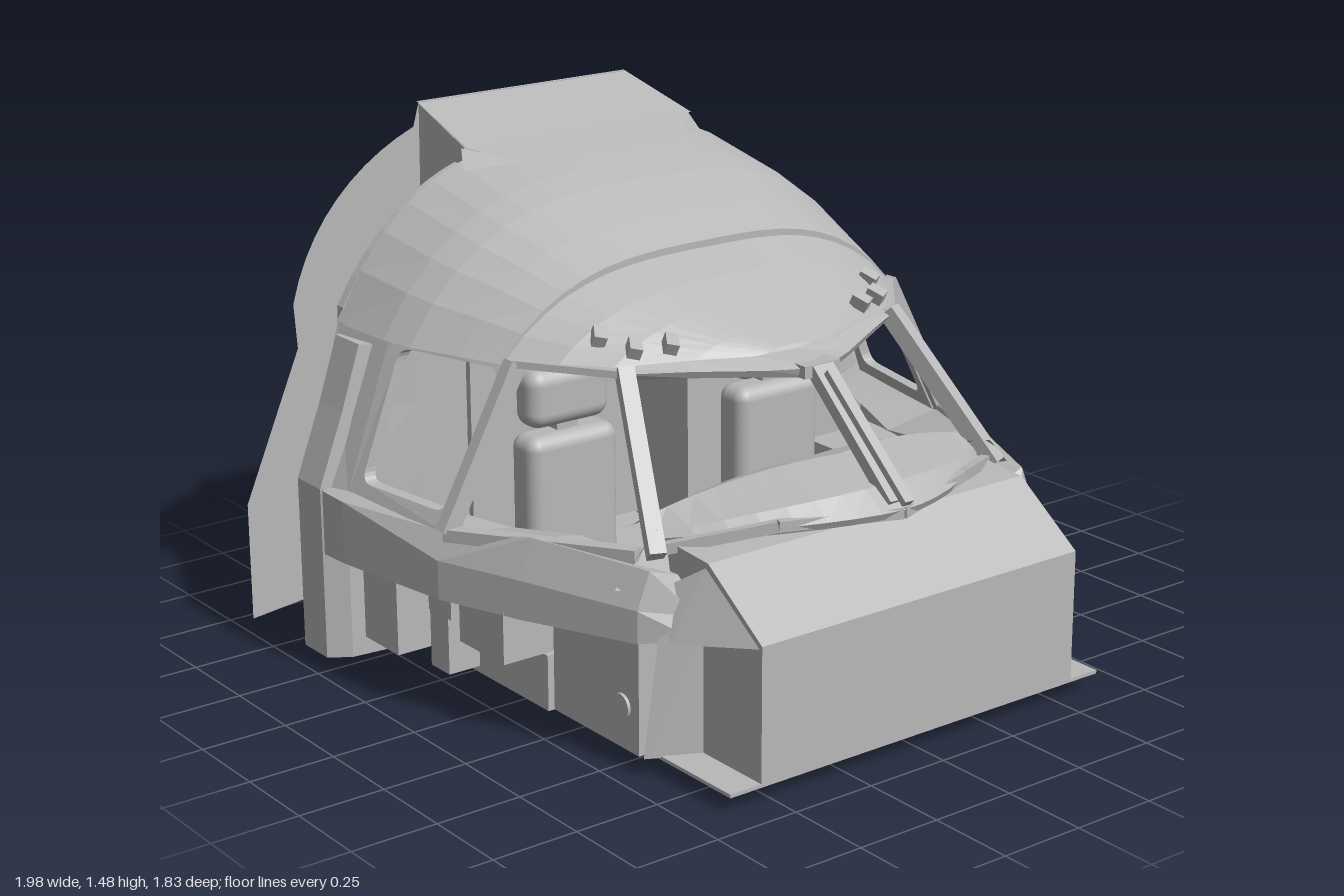
import * as THREE from 'three';
import { RoundedBoxGeometry } from 'three/addons/geometries/RoundedBoxGeometry.js';

export function createModel() {
  const model = new THREE.Group();
  const grey = new THREE.MeshStandardMaterial({ color: 0xb8b8b8, side: THREE.DoubleSide });
  grey.name = 'panel grey';
  const V = (p) => new THREE.Vector3(...p);
  const mx = (p, s) => [p[0] * s, p[1], p[2]];

  function add(name, geo) {
    const m = new THREE.Mesh(geo, grey);
    m.name = name;
    model.add(m);
    return m;
  }
  function flat(positions) {
    const g = new THREE.BufferGeometry();
    g.setAttribute('position', new THREE.Float32BufferAttribute(positions, 3));
    g.computeVertexNormals();
    return g;
  }
  // flat polygon as a fan
  function panel(name, pts, s = 1) {
    const out = [];
    for (let i = 1; i < pts.length - 1; i++) {
      const t = [pts[0], pts[i], pts[i + 1]].map((p) => mx(p, s));
      if (s < 0) t.reverse();
      out.push(...t.flat());
    }
    return add(name, flat(out));
  }
  // faceted skin through rows of points
  function skin(name, rows, s = 1) {
    const out = [];
    for (let i = 0; i < rows.length - 1; i++) {
      for (let j = 0; j < rows[i].length - 1; j++) {
        const q = [rows[i][j], rows[i + 1][j], rows[i + 1][j + 1], rows[i][j + 1]].map((p) => mx(p, s));
        if (s < 0) q.reverse();
        out.push(...q[0], ...q[1], ...q[2], ...q[0], ...q[2], ...q[3]);
      }
    }
    return add(name, flat(out));
  }
  function box(name, x0, x1, y0, y1, z0, z1) {
    const m = add(name, new THREE.BoxGeometry(Math.abs(x1 - x0), y1 - y0, z1 - z0));
    m.position.set((x0 + x1) / 2, (y0 + y1) / 2, (z0 + z1) / 2);
    return m;
  }
  // straight bar between two points
  function bar(name, a, b, w, d, s = 1) {
    const p = V(mx(a, s)), q = V(mx(b, s));
    const m = add(name, new THREE.BoxGeometry(w, d, p.distanceTo(q)));
    m.position.copy(p).add(q).multiplyScalar(0.5);
    m.lookAt(q);
    return m;
  }

  // floor and the open hatch frame beneath it
  box('floor', -0.64, 0.65, 0.045, 0.055, -0.64, 0.91);
  box('rearFloor', -0.38, 0.4, 0.045, 0.055, -0.9, -0.64);
  box('hatchSide', -0.17, -0.16, 0, 0.05, 0.04, 0.58);
  box('hatchSide', 0.18, 0.19, 0, 0.05, 0.04, 0.58);
  box('hatchEnd', -0.17, 0.19, 0, 0.05, 0.04, 0.05);
  box('hatchEnd', -0.17, 0.19, 0, 0.05, 0.57, 0.58);

  // roof shell, [z, half width, crown height]
  const stations = [
    [-0.63, 0.82, 1.4], [-0.4, 0.81, 1.345], [-0.3, 0.79, 1.315], [-0.15, 0.73, 1.255], [-0.02, 0.68, 1.195],
    [-0.02, 0.675, 1.175], [0.1, 0.59, 1.125], [0.2, 0.48, 1.075], [0.3, 0.3, 1.025], [0.37, 0.12, 0.99], [0.385, 0.02, 0.97],
  ];
  const N = 20;
  const arch = (k, h) => 0.965 + (h - 0.965) * (1 - Math.abs(k) ** 3.2) ** 0.93;
  skin('roofShell', stations.map(([z, w, h]) => {
    const row = [];
    for (let i = 0; i <= N; i++) {
      const k = (2 * i) / N - 1;
      row.push([w * k, arch(k, h), z]);
    }
    return row;
  }));

  // raised rear roof with its side walls and fairings
  panel('rearRoof', [[-0.39, 1.4, -0.6], [0.4, 1.4, -0.6], [0.38, 1.48, -0.91], [-0.36, 1.48, -0.91]]);
  panel('rearRoofLeftWall', [[0.4, 0.05, -0.62], [0.4, 0.05, -0.88], [0.38, 1.475, -0.9], [0.4, 1.4, -0.62]]);
  panel('rearRoofRightWall', [[-0.39, 0.05, -0.62], [-0.39, 1.4, -0.62], [-0.36, 1.475, -0.9], [-0.39, 0.05, -0.88]]);
  for (const s of [1, -1]) {
    panel('roofFairing', [[0.4, 1.4, -0.62], [0.28, 1.37, -0.48], [0.42, 1.345, -0.58]], s);
  }
  panel('roofFairingTop', [[-0.39, 1.4, -0.62], [-0.28, 1.37, -0.48], [0.28, 1.37, -0.48], [0.4, 1.4, -0.62]]);

  // back wall with arched shoulders
  const back = new THREE.Shape();
  back.moveTo(-0.74, 0.05);
  back.lineTo(0.42, 0.05);
  back.lineTo(0.42, 0.08);
  back.lineTo(0.69, 0.08);
  back.lineTo(0.69, 0.97);
  back.lineTo(0.83, 0.97);
  back.bezierCurveTo(0.75, 1.18, 0.6, 1.33, 0.38, 1.41);
  back.lineTo(0.38, 1.48);
  back.lineTo(-0.36, 1.48);
  back.lineTo(-0.38, 1.41);
  back.bezierCurveTo(-0.58, 1.33, -0.74, 1.18, -0.8, 0.95);
  add('backWall', new THREE.ShapeGeometry(back, 10)).position.z = -0.9;
  box('backDoor', 0.42, 0.69, 0.08, 0.95, -0.91, -0.9);
  panel('rearFlap', [[-0.72, 0.95, -0.92], [-0.72, 0.05, -0.92], [-1, 0.05, -0.86], [-1, 0.4, -0.86]]);

  // instrument panel housing
  const dash = new THREE.Shape([[0.91, 0.05], [0.91, 0.43], [0.69, 0.585], [0.46, 0.6], [0.46, 0.05]]
    .map(([z, y]) => new THREE.Vector2(-z, y)));
  add('instrumentHousing', new THREE.ExtrudeGeometry(dash, { depth: 1.09, bevelEnabled: false })
    .rotateY(Math.PI / 2).translate(-0.54, 0, 0));
  // pointed cowl under the windshield
  const cowl = [];
  for (let i = 0; i <= 16; i++) {
    const x = -0.56 + 0.07 * i, k = Math.abs(x) / 0.56;
    const zf = 0.83 - 0.33 * k ** 1.7, top = 0.73 - 0.09 * k * k, lip = 0.65 - 0.05 * k * k;
    cowl.push([[x, 0.59, zf - 0.14 + 0.08 * k], [x, lip - 0.02, zf - 0.01], [x, lip, zf],
      [x, top - 0.03, zf - 0.07 * (1 - k) - 0.01], [x, top, 0.56 - 0.12 * k], [x, top - 0.03, 0.46 - 0.06 * k], [x, 0.58, 0.33]]);
  }
  skin('windshieldCowl', cowl);

  // windshield centre post
  bar('centrePost', [0, 0.66, 0.8], [0, 0.95, 0.48], 0.07, 0.035);
  bar('centrePostTrim', [0, 0.67, 0.84], [0, 0.95, 0.52], 0.03, 0.02);
  box('overheadBracket', -0.06, 0.06, 0.93, 0.965, 0.37, 0.49);

  for (const s of [1, -1]) {
    // dash shoulder wings
    panel('dashWing', [[0.54, 0.57, 0.68], [0.54, 0.42, 0.9], [0.64, 0.38, 0.66], [0.6, 0.5, 0.58]], s);
    panel('dashWingFront', [[0.54, 0.43, 0.67], [0.54, 0.05, 0.67], [0.68, 0.05, 0.6], [0.66, 0.4, 0.64]], s);

    // windshield frame and brow
    bar('windshieldSill', [0, 0.64, 0.82], [0.32, 0.64, 0.7], 0.025, 0.03, s);
    bar('windshieldSill', [0.32, 0.64, 0.7], [0.58, 0.58, 0.52], 0.025, 0.03, s);
    skin('brow', [
      [[0, 0.98, 0.38], [0.14, 0.98, 0.37], [0.31, 0.98, 0.29], [0.47, 0.97, 0.2]],
      [[0, 0.955, 0.5], [0.14, 0.955, 0.43], [0.31, 0.96, 0.33], [0.48, 0.96, 0.23]],
      [[0, 0.925, 0.49], [0.14, 0.935, 0.42], [0.31, 0.94, 0.32], [0.47, 0.94, 0.22]],
    ], s);
    bar('frontPillar', [0.59, 0.57, 0.54], [0.46, 0.97, 0.23], 0.045, 0.05, s);
    panel('pillarFoot', [[0.5, 0.63, 0.45], [0.58, 0.64, 0.53], [0.71, 0.5, 0.52], [0.6, 0.5, 0.62]], s);

    // side sill: [x, z, base, shoulder, window base height, ledge depth]
    const path = [[0.6, 0.67, 0.38, 0.4, 0.44, 0.08], [0.69, 0.59, 0.37, 0.46, 0.56, 0.13], [0.82, 0.25, 0.36, 0.47, 0.58, 0.2],
      [0.91, 0, 0.36, 0.47, 0.54, 0.24], [0.97, -0.38, 0.36, 0.54, 0.56, 0.16], [0.98, -0.56, 0.36, 0.55, 0.56, 0.14]];
    skin('sideSill', path.map(([x, z, a, b, c, d]) => [
      [x - 0.12, a, z], [x, a, z], [x, b, z], [x - 0.04, c, z], [x - d, c - 0.03, z]]), s);

    // front side window frame
    const w0 = [0.62, 0.57, 0.5], w1 = [0.88, 0.54, 0], w2 = [0.94, 0.55, -0.4];
    const t0 = [0.46, 0.96, 0.23], t1 = [0.65, 0.97, 0], t2 = [0.79, 0.97, -0.4];
    bar('windowPost', w1, t1, 0.04, 0.05, s);
    bar('windowLowerRail', w0, w1, 0.04, 0.035, s);
    bar('windowUpperRail', t0, t1, 0.04, 0.02, s);

    // rear side window: plate with a rounded opening, leaned onto the cabin side
    const plate = new THREE.Shape([[0, 0], [1, 0], [1, 1], [0, 1]].map((p) => new THREE.Vector2(...p)));
    const hole = new THREE.Path(), lo = [0.09, 0.1], hi = [0.9, 0.95], r = 0.09;
    hole.moveTo(lo[0] + r, lo[1]);
    hole.lineTo(hi[0] - r, lo[1]).quadraticCurveTo(hi[0], lo[1], hi[0], lo[1] + r);
    hole.lineTo(hi[0], hi[1] - r).quadraticCurveTo(hi[0], hi[1], hi[0] - r, hi[1]);
    hole.lineTo(lo[0] + r, hi[1]).quadraticCurveTo(lo[0], hi[1], lo[0], hi[1] - r);
    hole.lineTo(lo[0], lo[1] + r).quadraticCurveTo(lo[0], lo[1], lo[0] + r, lo[1]);
    plate.holes.push(hole);
    const frame = new THREE.ExtrudeGeometry(plate, { depth: 0.035, bevelEnabled: false, curveSegments: 5 });
    const pos = frame.attributes.position;
    for (let i = 0; i < pos.count; i++) {
      const u = pos.getX(i), v = pos.getY(i);
      const p = V(w1).lerp(V(w2), u).lerp(V(t1).lerp(V(t2), u), v);
      pos.setXYZ(i, (p.x - pos.getZ(i)) * s, p.y, p.z);
    }
    frame.computeVertexNormals();
    add('rearWindowFrame', frame);

    // rear corner wall, pillar block and arched bulkhead
    panel('rearSideWall', [[0.94, 0.55, -0.4], [0.98, 0.55, -0.56], [0.82, 0.97, -0.62], [0.79, 0.97, -0.4]], s);
    const block = [[0.05, 0], [0.55, 0], [0.76, 0.08], [0.94, 0.14]].map(([y, o]) => [
      [0.7, y, -0.42], [0.92 - o, y, -0.44], [0.98 - o, y, -0.48], [0.98 - o, y, -0.6], [0.7, y, -0.61]]);
    skin('rearBlock', block, s);
    panel('rearBlockTop', block[3], s);
    const wall = new THREE.Shape([[0.4, 0.05], [0.8, 0.05], [0.8, 0.965]].map(([x, y]) => new THREE.Vector2(x * s, y)));
    for (let i = 0; i <= 8; i++) {
      const x = 0.8 - 0.05 * i;
      wall.lineTo(x * s, arch(x / 0.82, 1.395));
    }
    add('bulkhead', new THREE.ExtrudeGeometry(wall, { depth: 0.03, bevelEnabled: false })).position.z = -0.655;

    // inner wall and stepped side consoles under the sill
    box('innerSideWall', 0.6 * s, 0.62 * s, 0.05, 0.42, -0.42, 0.4);
    const consoles = [[0.58, 0.68, 0.05, 0.37, 0.2, 0.58], [0.62, 0.84, 0.22, 0.37, -0.01, 0.2],
      [0.62, 0.7, 0.05, 0.21, -0.4, 0.2], [0.62, 0.86, 0.28, 0.37, -0.13, -0.02],
      [0.62, 0.8, 0.07, 0.36, -0.22, -0.13], [0.62, 0.9, 0.12, 0.37, -0.4, -0.23]];
    for (const [a, b, ...rest] of consoles) box('sideConsole', a * s, b * s, ...rest);
    const port = add('consolePort', new THREE.CylinderGeometry(0.035, 0.035, 0.01, 20).rotateZ(Math.PI / 2));
    port.position.set(0.684 * s, 0.17, 0.51);

    // seat with a rounded headrest
    const head = add('seatHeadrest', new RoundedBoxGeometry(0.27, 0.17, 0.11, 4, 0.045));
    head.position.set(0.365 * s, 0.785, -0.195);
    box('headrestNeck', 0.33 * s, 0.4 * s, 0.66, 0.72, -0.21, -0.17);
    const rest = add('seatBack', new RoundedBoxGeometry(0.3, 0.48, 0.12, 3, 0.04));
    rest.position.set(0.365 * s, 0.445, -0.185);
    const cushion = add('seatCushion', new RoundedBoxGeometry(0.3, 0.1, 0.34, 3, 0.04));
    cushion.position.set(0.365 * s, 0.26, -0.03);
    box('seatBase', 0.28 * s, 0.45 * s, 0.05, 0.22, -0.15, 0.1);

    // small fittings along the roof's front edge
    for (const [x, y, z] of [[0.47, 1.04, 0.13], [0.42, 1.02, 0.22], [0.33, 1.025, 0.26]]) {
      const f = box('roofFitting', (x - 0.018) * s, (x + 0.018) * s, y - 0.018, y + 0.018, z - 0.025, z + 0.025);
      f.rotation.set(0.5, 0.5 * s, 0);
    }
  }
  return model;
}
